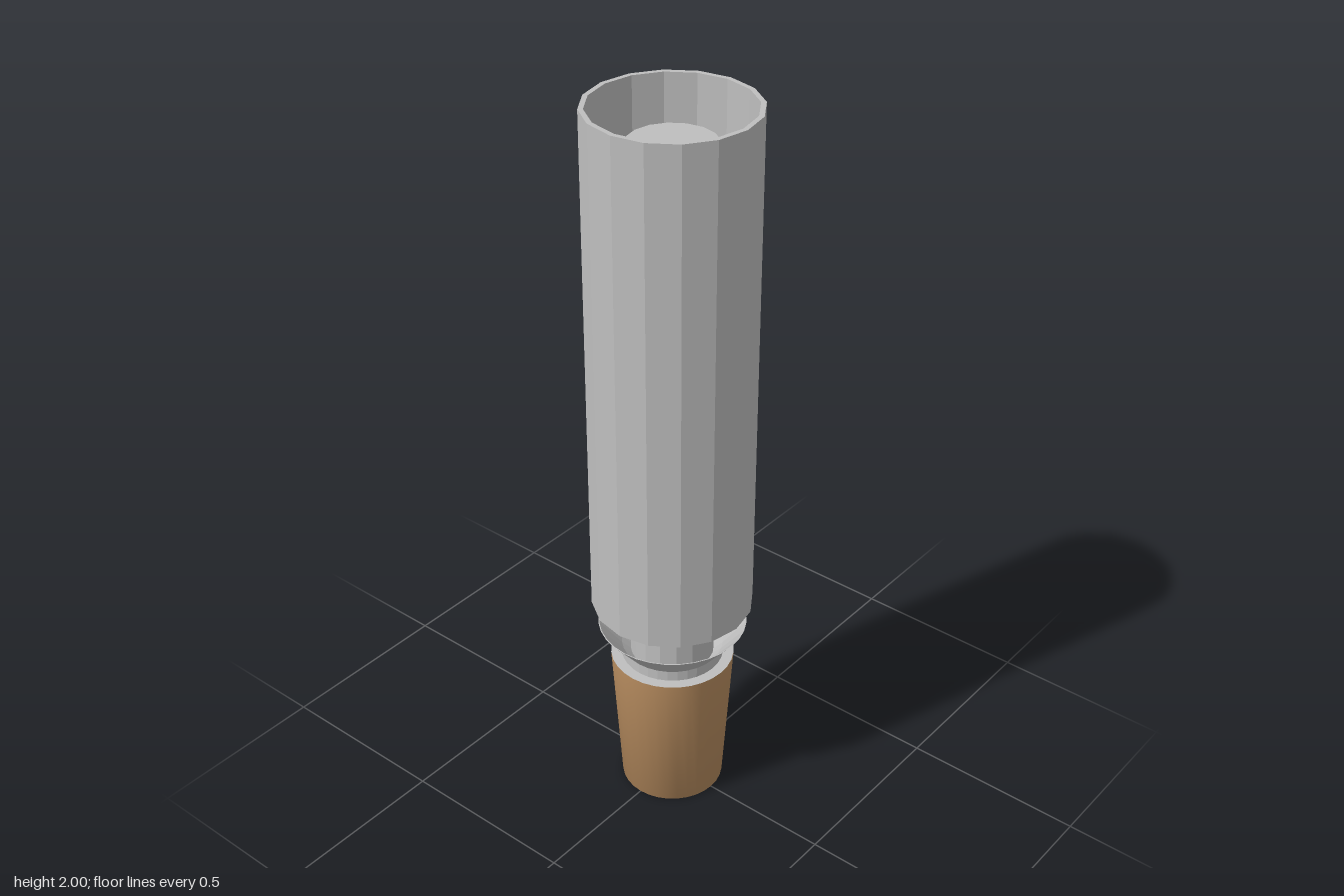
import * as THREE from 'three';

export function createModel() {
  const group = new THREE.Group();
  const metal = new THREE.MeshStandardMaterial({ color: 0xbfbfbf, flatShading: true });
  metal.name = 'grey metal';
  const cork = new THREE.MeshStandardMaterial({ color: 0xbb8f61 });
  cork.name = 'tan cork';

  // Lathe a list of [radius, height] points into a named part
  const turn = (name, points, sides, material) => {
    const profile = points.map(([r, y]) => new THREE.Vector2(r, y));
    const mesh = new THREE.Mesh(new THREE.LatheGeometry(profile, sides), material);
    mesh.name = name;
    group.add(mesh);
  };

  // Tapered stopper with a softly shaded bottom edge
  turn('stopper', [[0, 0], [0.14, 0], [0.167, 0.425]], 32, cork);

  // Metal cover on the stopper's top face
  turn('stopperCover', [[0.167, 0.425], [0, 0.425]], 32, metal);

  // Thin flared collar: neck, outer cone, rim, inner cone and floor
  turn('collar', [
    [0.138, 0.425], [0.138, 0.455], [0.2, 0.53],
    [0.197, 0.53], [0.137, 0.457], [0.113, 0.435],
  ], 32, metal);

  // Inner rod, ending just below the tube's mouth
  turn('innerRod', [[0, 0.425], [0.113, 0.425], [0.113, 1.91], [0, 1.91]], 16, metal);

  // Outer tube, open at both ends
  turn('outerTube', [
    [0.203, 0.6], [0.216, 0.6], [0.216, 2], [0.203, 2], [0.203, 0.6],
  ], 16, metal);

  return group;
}
